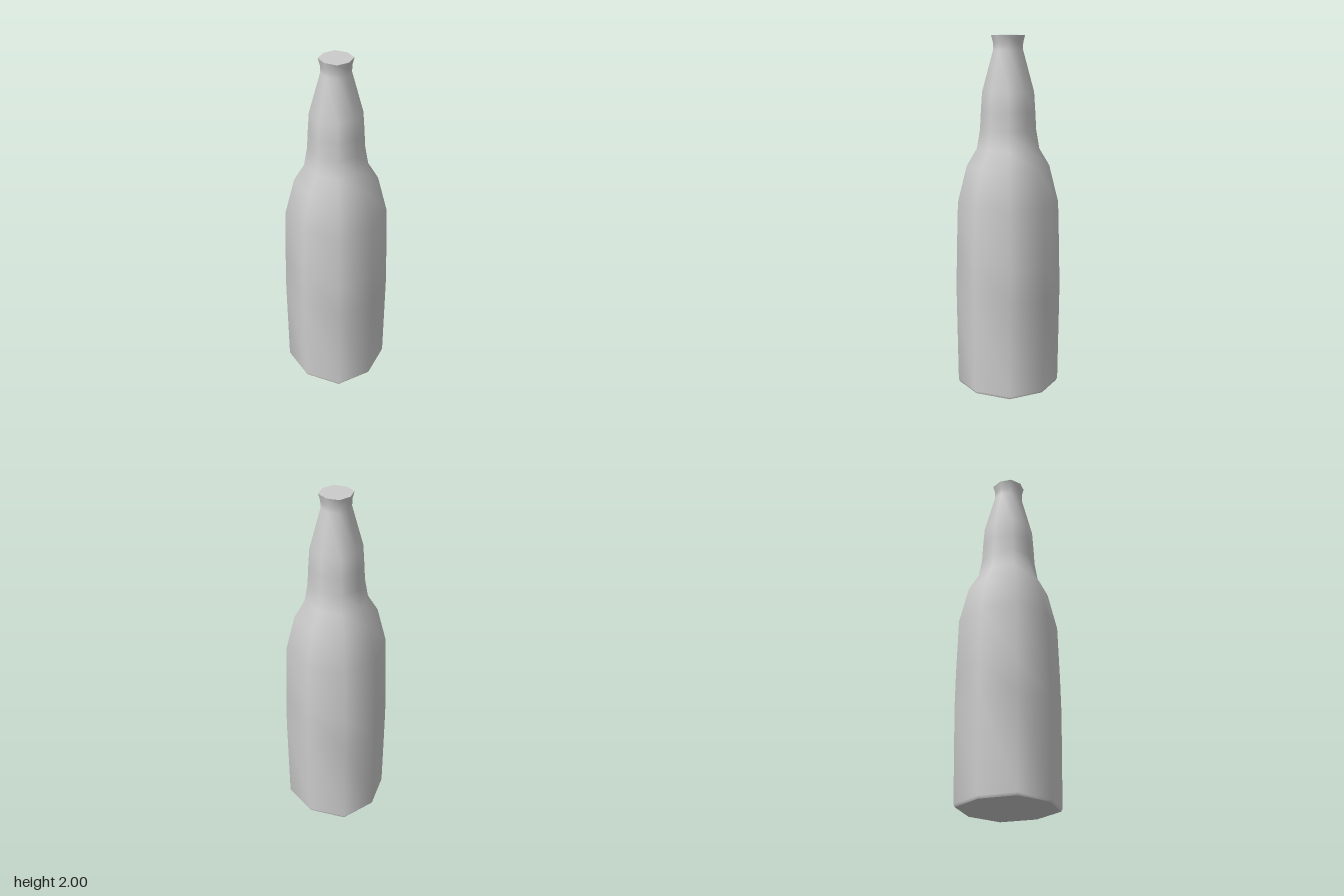
import * as THREE from 'three';
import { mergeVertices } from 'three/addons/utils/BufferGeometryUtils.js';

const SIDES = 8;
const DIAGONAL = 1.068; // corners on the diagonals sit slightly further out

// Push the diagonal corners outwards, then smooth the normals across the seam
function shapeOctagon(geometry) {
  geometry.deleteAttribute('uv');
  geometry.deleteAttribute('normal');
  const merged = mergeVertices(geometry, 1e-5);
  const p = merged.attributes.position;
  for (let i = 0; i < p.count; i++) {
    const x = p.getX(i), z = p.getZ(i);
    if (Math.min(Math.abs(x), Math.abs(z)) > 0.01) {
      p.setX(i, x * DIAGONAL);
      p.setZ(i, z * DIAGONAL);
    }
  }
  merged.computeVertexNormals();
  return merged;
}

export function createModel() {
  const group = new THREE.Group();
  group.name = 'bottle';
  const material = new THREE.MeshStandardMaterial({ color: 0xcccccc });

  function add(name, geometry) {
    const mesh = new THREE.Mesh(shapeOctagon(geometry), material);
    mesh.name = name;
    group.add(mesh);
  }

  // Outer wall from base to lip: [radius, height]
  const profile = [
    [0.264, 0], [0.271, 0.015], [0.278, 0.55], [0.275, 0.75], [0.266, 1.07],
    [0.217, 1.28], [0.164, 1.375], [0.147, 1.48], [0.142, 1.58], [0.135, 1.69],
    [0.077, 1.92], [0.078, 1.96], [0.088, 2],
  ].map(([r, y]) => new THREE.Vector2(r, y));
  add('bottleWall', new THREE.LatheGeometry(profile, SIDES));

  // Flat closures at the base and mouth
  add('base', new THREE.CircleGeometry(0.264, SIDES).rotateX(Math.PI / 2));
  add('mouth', new THREE.CircleGeometry(0.088, SIDES).rotateX(-Math.PI / 2).translate(0, 2, 0));

  return group;
}
